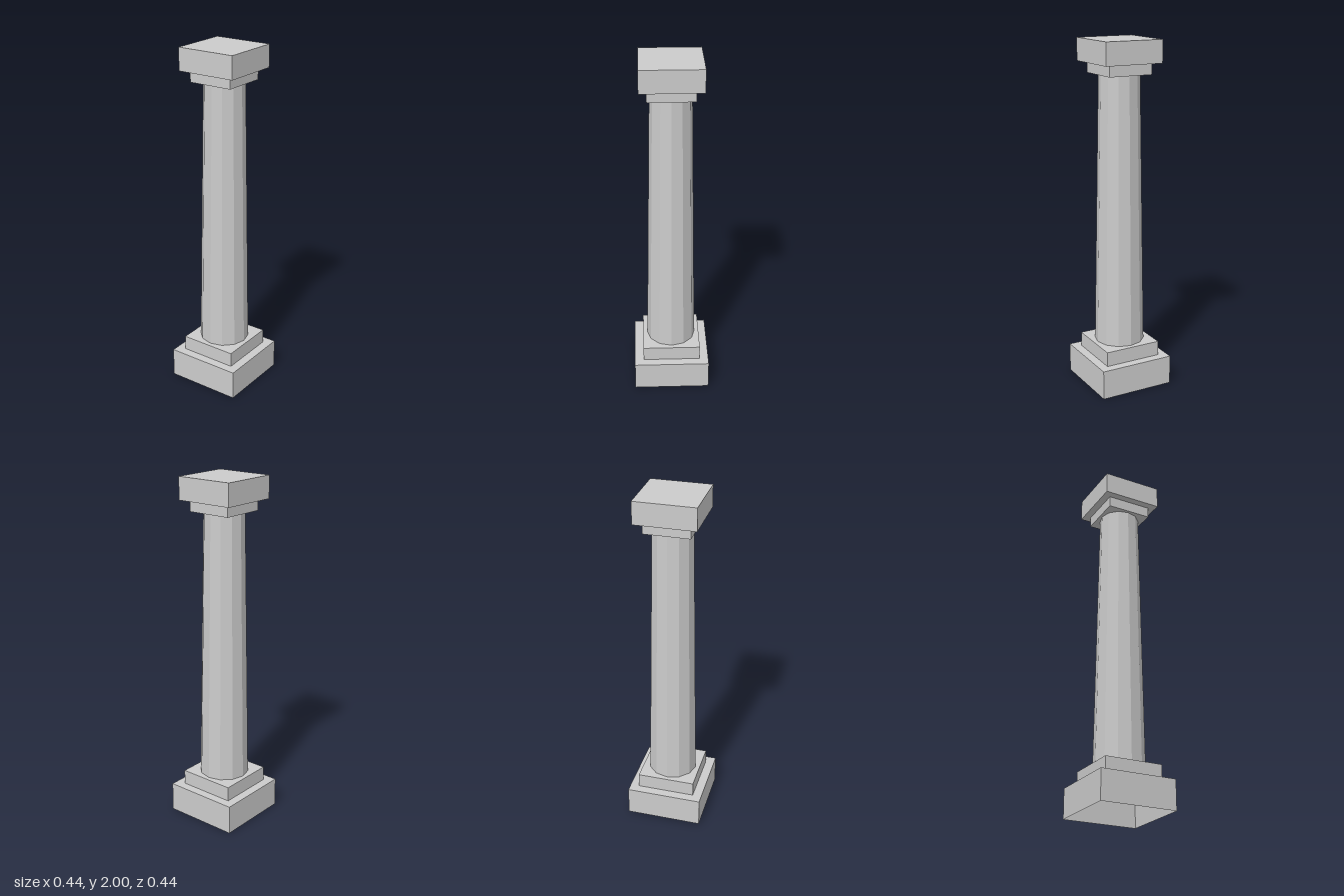
import * as THREE from 'three';

const SIDES = 12;
const material = new THREE.MeshStandardMaterial({ color: 0xcccccc, flatShading: true, side: THREE.DoubleSide });

function part(name, geometry) {
  const mesh = new THREE.Mesh(geometry, material);
  mesh.name = name;
  return mesh;
}

// Square stepped shell: profile is a list of [half width, height]
function squareShell(profile) {
  const points = profile.map(([half, y]) => new THREE.Vector2(half * Math.SQRT2, y));
  return new THREE.LatheGeometry(points, 4, Math.PI / 4);
}

// Flat square plate with a hole that fits the shaft
function collar(half, radius, y, faceUp) {
  const shape = new THREE.Shape([[-1, -1], [1, -1], [1, 1], [-1, 1]].map(([x, z]) => new THREE.Vector2(x * half, z * half)));
  const hole = [];
  for (let i = 0; i < SIDES; i++) {
    const a = (-i / SIDES) * Math.PI * 2;
    hole.push(new THREE.Vector2(Math.cos(a) * radius, Math.sin(a) * radius));
  }
  shape.holes.push(new THREE.Path(hole));
  return new THREE.ShapeGeometry(shape).rotateX(faceUp ? -Math.PI / 2 : Math.PI / 2).translate(0, y, 0);
}

export function createModel() {
  const model = new THREE.Group();
  model.name = 'column';
  const bottomY = 0.255, topY = 1.81, bottomR = 0.143, topR = 0.115;

  // Hollow stepped base, open underneath
  const base = new THREE.Group();
  base.name = 'base';
  base.add(part('baseSteps', squareShell([[0.22, 0], [0.22, 0.17], [0.168, 0.17], [0.168, bottomY]])));
  base.add(part('baseCollar', collar(0.168, bottomR, bottomY, true)));

  // Tapered faceted shaft
  const shaft = part('shaft', new THREE.CylinderGeometry(topR, bottomR, topY - bottomY, SIDES, 1, true));
  shaft.position.y = (bottomY + topY) / 2;

  // Stepped capital, closed on top
  const capital = new THREE.Group();
  capital.name = 'capital';
  capital.add(part('capitalCollar', collar(0.13, topR, topY, false)));
  capital.add(part('capitalSteps', squareShell([[0.13, topY], [0.13, 1.873], [0.172, 1.873], [0.172, 2], [0, 2]])));

  model.add(base, shaft, capital);
  return model;
}
